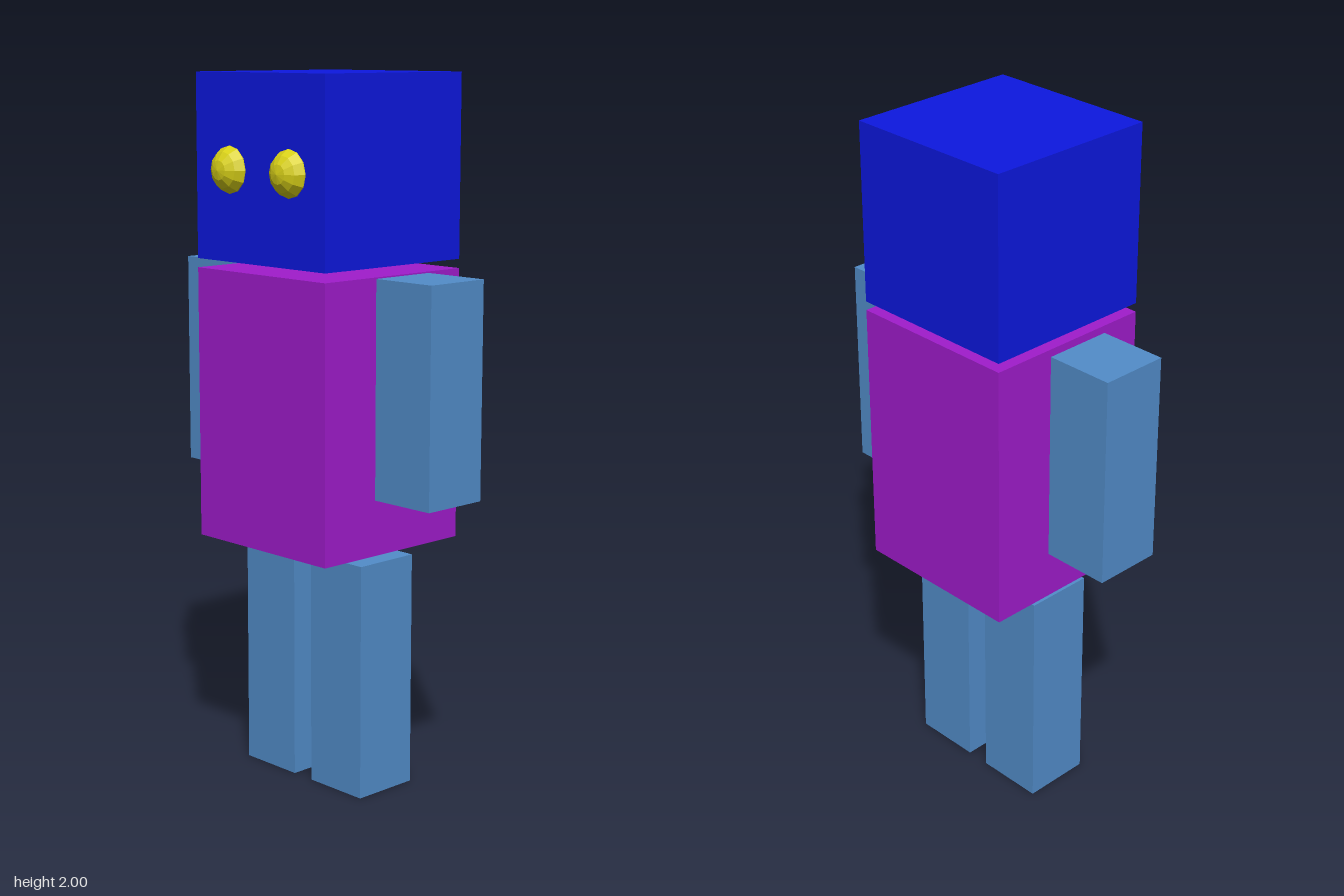
import * as THREE from 'three';

export function createModel() {
  const model = new THREE.Group();
  const paint = (color) => new THREE.MeshStandardMaterial({ color, flatShading: true });
  const blue = paint(0x0d18e0), purple = paint(0xa01ccc), limb = paint(0x528dca), yellow = paint(0xd8d018);
  const midZ = -0.025;

  const add = (name, geometry, material, x, y, z) => {
    const mesh = new THREE.Mesh(geometry, material);
    mesh.name = name;
    mesh.position.set(x, y, z);
    model.add(mesh);
  };

  // Head and torso blocks, separated by a narrow gap
  add('head', new THREE.BoxGeometry(0.512, 0.51, 0.512), blue, 0, 1.745, midZ);
  add('torso', new THREE.BoxGeometry(0.512, 0.765, 0.512), purple, 0, 1.082, midZ);

  // Mirrored limbs and half-sunk faceted eyes
  const armGeometry = new THREE.BoxGeometry(0.2, 0.6, 0.2);
  const legGeometry = new THREE.BoxGeometry(0.2, 0.67, 0.2);
  const eyeGeometry = new THREE.SphereGeometry(0.07, 12, 8);
  eyeGeometry.rotateX(Math.PI / 2);
  for (const [side, s] of [['left', 1], ['right', -1]]) {
    add(side + 'Arm', armGeometry, limb, s * 0.388, 1.166, midZ);
    add(side + 'Leg', legGeometry, limb, s * 0.135, 0.335, midZ);
    add(side + 'Eye', eyeGeometry, yellow, s * 0.118, 1.74, 0.207);
  }
  return model;
}
